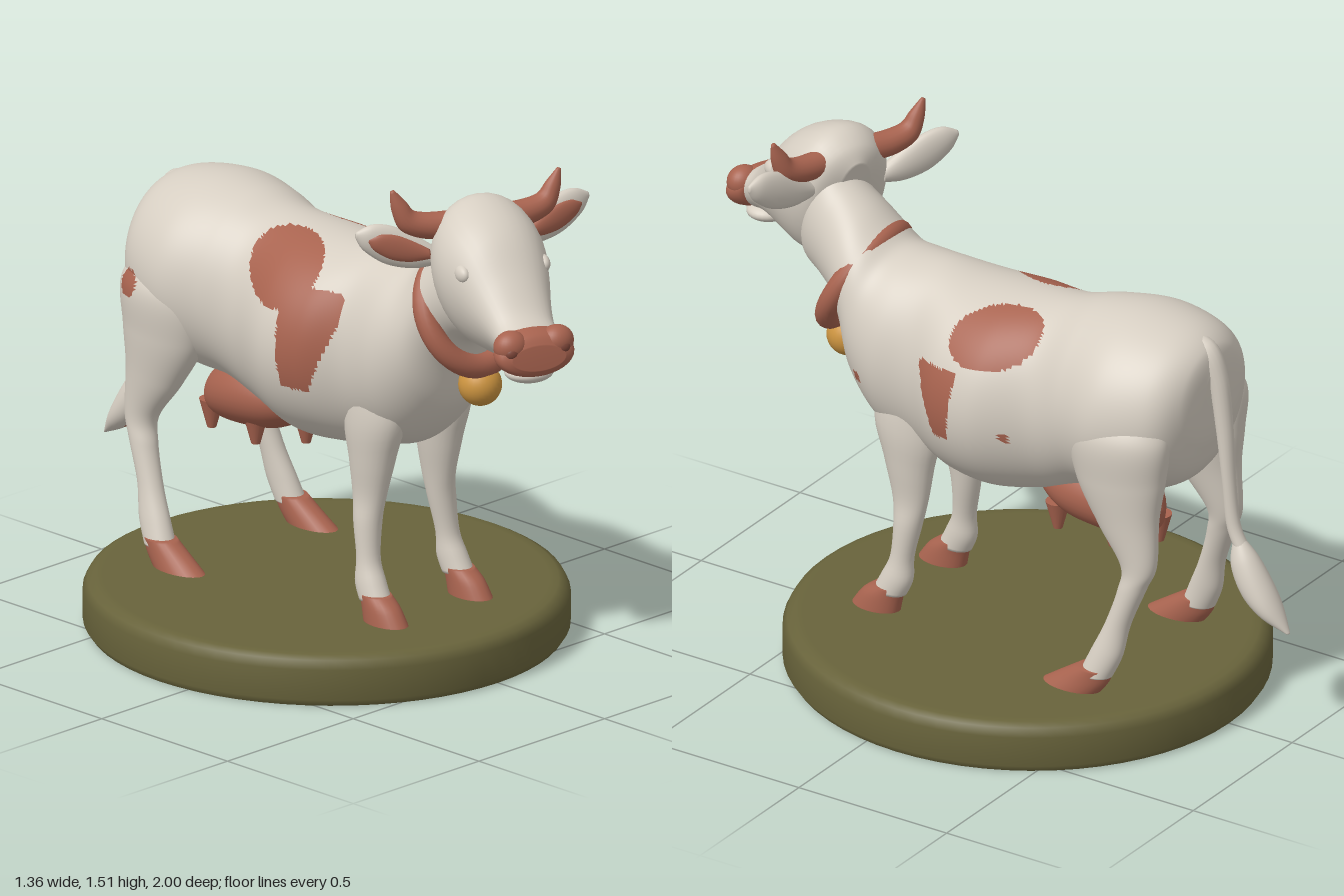
import * as THREE from 'three';

const mat = (name, color) => Object.assign(new THREE.MeshStandardMaterial({ color }), { name });

// Catmull-Rom interpolation of whole rows of numbers
function rowAt(rows, t) {
  const f = t * (rows.length - 1), i = Math.min(Math.floor(f), rows.length - 2), u = f - i;
  const r = k => rows[Math.max(0, Math.min(rows.length - 1, k))];
  return rows[0].map((_, c) => {
    const [a, b, d, e] = [r(i - 1)[c], r(i)[c], r(i + 1)[c], r(i + 2)[c]];
    return b + 0.5 * u * (d - a + u * (2 * a - 5 * b + 4 * d - e + u * (3 * (b - d) + e - a)));
  });
}

// Closed skin over elliptical rings. Row: [z, y of one edge, z, y of the other edge, half width, centre x]
function skin(rows, steps = 32, sides = 24, egg = 0) {
  const full = rows.map(r => (r.length < 6 ? [...r, 0] : r));
  const pos = [], idx = [];
  for (let i = 0; i <= steps; i++) {
    const [zt, yt, zb, yb, w, x] = rowAt(full, i / steps);
    for (let j = 0; j < sides; j++) {
      const a = (j / sides) * Math.PI * 2, c = Math.cos(a), s = Math.sin(a);
      pos.push(x + w * s * (1 + egg * c), (yt + yb) / 2 + c * (yt - yb) / 2, (zt + zb) / 2 + c * (zt - zb) / 2);
      if (i < steps) {
        const p = i * sides + j, q = i * sides + (j + 1) % sides;
        idx.push(p, q, p + sides, q, q + sides, p + sides);
      }
    }
  }
  const cap = (row, base, flip) => {
    const n = pos.length / 3;
    pos.push(row[5], (row[1] + row[3]) / 2, (row[0] + row[2]) / 2);
    for (let j = 0; j < sides; j++) {
      const p = base + j, q = base + (j + 1) % sides;
      idx.push(n, flip ? q : p, flip ? p : q);
    }
  };
  cap(full[0], 0, true);
  cap(full[full.length - 1], steps * sides, false);
  // make every face point outwards
  const v = k => new THREE.Vector3().fromArray(pos, idx[k] * 3);
  let volume = 0;
  for (let k = 0; k < idx.length; k += 3) volume += v(k).dot(v(k + 1).cross(v(k + 2)));
  if (volume < 0) idx.reverse();
  const g = new THREE.BufferGeometry();
  g.setAttribute('position', new THREE.Float32BufferAttribute(pos, 3));
  g.setIndex(idx);
  g.computeVertexNormals();
  return g;
}

// Where the coat is brown
function isSpot(x, y, z) {
  // patch on the front of the tail tuft
  if (z < -0.8) return Math.hypot((x - 0.005) / 0.026, (y - 0.425) / 0.045) < 1 && z > -0.82 - 0.68 * (0.6 - y);
  const angle = Math.atan2(Math.abs(x) / 0.29, (y - 0.89) / 0.3);
  const oval = (zc, rz, ac, ra) => ((z - zc) / rz) ** 2 + ((angle - ac - (z - zc) * 0.8) / ra) ** 2 < 1;
  const patch = (top, front) => y > 0.8 && y < top && z > -0.035 - (y - 0.9) * 0.1
    && z < front - Math.max(0, 1 - y) * 0.38 && z + y < front + top - 0.015;
  if (x > 0) {
    const dot = (zc, yc) => Math.abs(z - zc) < 0.013 && Math.abs(y - yc) < 0.013;
    return oval(-0.125, 0.135, 0.68, 0.38) || patch(1.01, 0.105) || dot(0.335, 0.865) || dot(-0.195, 0.845);
  }
  return oval(-0.11, 0.14, 0.66, 0.46) || patch(1.09, 0.135) || (z < -0.4 && Math.hypot(z + 0.635, y - 0.955) < 0.038);
}

// Split the triangles into a plain group and a spotted group
function paint(g) {
  const p = g.attributes.position, idx = g.index.array, parts = [[], []];
  for (let k = 0; k < idx.length; k += 3) {
    const t = [idx[k], idx[k + 1], idx[k + 2]];
    const mid = f => t.reduce((s, i) => s + p[f](i), 0) / 3;
    parts[isSpot(mid('getX'), mid('getY'), mid('getZ')) ? 1 : 0].push(...t);
  }
  g.setIndex([...parts[0], ...parts[1]]);
  g.addGroup(0, parts[0].length, 0);
  g.addGroup(parts[0].length, parts[1].length, 1);
  return g;
}

export function createModel() {
  const coat = mat('cream coat', 0xd6cec2), brown = mat('reddish brown', 0xa8634f);
  const grass = mat('olive base', 0x68633b), gold = mat('gold', 0xcc9440);
  const under = mat('dark underside', 0x443a36), dark = mat('dark brown', 0x7d4639);
  const model = new THREE.Group();
  const add = (name, g, m, parent = model, p = [0, 0, 0], s = [1, 1, 1]) => {
    const mesh = new THREE.Mesh(g, m);
    mesh.name = name;
    mesh.position.set(...p);
    mesh.scale.set(...s);
    parent.add(mesh);
    return mesh;
  };
  const group = (name, parent, p) => {
    const g = new THREE.Group();
    g.name = name;
    g.position.set(...p);
    parent.add(g);
    return g;
  };
  const ball = (name, m, parent, p, s) => add(name, new THREE.SphereGeometry(1, 28, 20), m, parent, p, s);

  // Round base with a softened rim
  const rim = [[0.665, 0], [0.678, 0.02], [0.678, 0.11], [0.665, 0.135], [0.645, 0.145], [0.62, 0.146], [0, 0.146]];
  add('base', new THREE.LatheGeometry(rim.map(q => new THREE.Vector2(...q)), 64), grass, model, [0, 0, -0.105], [1, 1, 1.025]);
  add('baseUnderside', new THREE.CircleGeometry(0.665, 64), under, model, [0, 0, -0.105], [1, 1.025, 1]).rotation.x = Math.PI / 2;

  // Body and neck in one skin
  const torso = group('torso', model, [0.013, 0, 0]);
  add('body', paint(skin([
    [-0.755, 1.12, -0.75, 1.0, 0.05], [-0.735, 1.185, -0.735, 0.88, 0.16], [-0.66, 1.23, -0.68, 0.76, 0.245],
    [-0.52, 1.25, -0.52, 0.69, 0.288], [-0.38, 1.235, -0.38, 0.67, 0.255], [-0.26, 1.205, -0.26, 0.62, 0.235],
    [-0.1, 1.193, -0.1, 0.585, 0.287], [0.03, 1.19, 0.03, 0.59, 0.275], [0.15, 1.205, 0.15, 0.61, 0.22],
    [0.25, 1.205, 0.29, 0.655, 0.222], [0.31, 1.21, 0.4, 0.78, 0.2], [0.36, 1.245, 0.445, 0.92, 0.175],
    [0.42, 1.29, 0.49, 1.0, 0.152, -0.01], [0.5, 1.34, 0.56, 1.03, 0.13, -0.033], [0.57, 1.39, 0.64, 1.06, 0.12, -0.063],
    [0.61, 1.36, 0.67, 1.12, 0.08, -0.083]], 190, 176)), [coat, brown], torso);

  // Legs and hooves, mirrored
  for (const s of [1, -1]) {
    const side = s > 0 ? 'left' : 'right';
    const mirror = rows => rows.map(r => [...r.slice(0, 5), s * r[5]]);
    add(side + 'FrontLeg', skin(mirror([
      [0.27, 0.92, 0.12, 0.92, 0.05, 0.12], [0.31, 0.76, 0.1, 0.72, 0.066, 0.13], [0.275, 0.62, 0.12, 0.6, 0.056, 0.133],
      [0.245, 0.5, 0.135, 0.5, 0.042, 0.137], [0.235, 0.42, 0.15, 0.42, 0.04, 0.147], [0.24, 0.32, 0.17, 0.32, 0.034, 0.157],
      [0.265, 0.26, 0.17, 0.25, 0.04, 0.162], [0.29, 0.21, 0.19, 0.2, 0.041, 0.165]])), coat, torso);
    add(side + 'FrontHoof', skin(mirror([
      [0.29, 0.222, 0.19, 0.222, 0.041, 0.165], [0.33, 0.19, 0.2, 0.19, 0.045, 0.167], [0.365, 0.14, 0.21, 0.14, 0.049, 0.168]]), 10), brown, torso);
    add(side + 'HindLeg', paint(skin(mirror([
      [-0.5, 1.05, -0.67, 1.05, 0.05, 0.17], [-0.4, 0.95, -0.715, 0.95, 0.095, 0.195], [-0.42, 0.8, -0.705, 0.82, 0.086, 0.2],
      [-0.5, 0.66, -0.69, 0.7, 0.064, 0.208], [-0.58, 0.55, -0.69, 0.56, 0.044, 0.217], [-0.575, 0.47, -0.665, 0.49, 0.039, 0.227],
      [-0.54, 0.36, -0.62, 0.37, 0.034, 0.24], [-0.5, 0.27, -0.6, 0.27, 0.038, 0.252], [-0.47, 0.2, -0.57, 0.2, 0.041, 0.26]]), 96, 64)), [coat, brown], torso);
    add(side + 'HindHoof', skin(mirror([
      [-0.465, 0.222, -0.575, 0.222, 0.041, 0.26], [-0.4, 0.18, -0.56, 0.18, 0.045, 0.262], [-0.34, 0.14, -0.53, 0.14, 0.05, 0.265]]), 10), brown, torso);
  }

  // Udder, hanging lower towards the back, with short teats
  add('udder', skin([
    [-0.175, 0.64, -0.18, 0.6, 0.02], [-0.21, 0.69, -0.22, 0.575, 0.075], [-0.3, 0.73, -0.3, 0.54, 0.115],
    [-0.42, 0.73, -0.42, 0.525, 0.12], [-0.52, 0.68, -0.52, 0.53, 0.085], [-0.565, 0.61, -0.56, 0.56, 0.025]], 32, 32), brown, torso);
  [[0.05, -0.25], [-0.055, -0.345], [0.055, -0.44], [-0.045, -0.53]].forEach(([x, z]) =>
    add('teat', new THREE.CylinderGeometry(0.036, 0.013, 0.085, 16), brown, torso, [x, 0.536, z]));

  // Tail and its tuft
  add('tail', skin([
    [-0.64, 1.22, -0.66, 1.12, 0.04], [-0.74, 1.195, -0.7, 1.1, 0.04], [-0.785, 1.1, -0.735, 1.06, 0.032],
    [-0.805, 0.95, -0.755, 0.94, 0.026], [-0.815, 0.78, -0.775, 0.78, 0.022], [-0.83, 0.65, -0.79, 0.64, 0.02],
    [-0.855, 0.59, -0.82, 0.57, 0.022]], 40, 16), coat, torso);
  add('tailTuft', paint(skin([
    [-0.84, 0.61, -0.81, 0.59, 0.015], [-0.885, 0.56, -0.81, 0.52, 0.04], [-0.93, 0.49, -0.85, 0.44, 0.05],
    [-0.965, 0.425, -0.915, 0.385, 0.042], [-1.0, 0.35, -0.99, 0.35, 0.008]], 48, 40)), [coat, brown], torso);

  // Collar and bell
  const collar = add('collar', new THREE.TorusGeometry(0.15, 0.033, 16, 48), brown, model, [0.01, 1.073, 0.442], [1.02, 1.06, 1]);
  collar.rotation.x = -0.49;
  ball('bell', gold, model, [0.01, 0.87, 0.495], [0.062, 0.062, 0.062]);

  // Head, turned to its right
  const head = group('head', model, [-0.05, 0, 0.54]);
  head.rotation.y = -0.39;
  add('skull', skin([
    [-0.06, 1.39, 0, 1.17, 0.05], [-0.035, 1.44, 0.02, 1.09, 0.12], [0.03, 1.475, 0.06, 1.055, 0.155],
    [0.12, 1.45, 0.12, 1.05, 0.16], [0.2, 1.4, 0.2, 1.055, 0.138], [0.28, 1.31, 0.28, 1.065, 0.11],
    [0.35, 1.235, 0.35, 1.07, 0.092], [0.4, 1.2, 0.4, 1.065, 0.092], [0.43, 1.18, 0.43, 1.08, 0.07]], 48, 36, 0.15), coat, head);
  // Nose: a flat pad with two raised nostril lobes
  add('nose', skin([
    [0.37, 1.19, 0.385, 1.09, 0.08], [0.38, 1.2, 0.395, 1.075, 0.105], [0.41, 1.198, 0.425, 1.064, 0.12],
    [0.44, 1.185, 0.455, 1.07, 0.11], [0.458, 1.16, 0.466, 1.09, 0.08]], 20, 32), brown, head);
  ball('lowerJaw', coat, head, [0, 1.063, 0.385], [0.072, 0.03, 0.062]);

  for (const s of [1, -1]) {
    ball('nostrilLobe', brown, head, [s * 0.07, 1.156, 0.418], [0.05, 0.046, 0.042]);
    ball('nostril', dark, head, [s * 0.078, 1.145, 0.449], [0.02, 0.018, 0.013]);
    ball('eye', coat, head, [s * 0.122, 1.305, 0.19], [0.02, 0.026, 0.034]);
    // Horn: runs out to the side, then curls up
    const horn = add('horn', skin([
      [0.08, 1.43, 0.08, 1.35, 0.038], [0.14, 1.43, 0.16, 1.355, 0.037], [0.19, 1.44, 0.23, 1.385, 0.031],
      [0.215, 1.47, 0.257, 1.445, 0.021], [0.25, 1.508, 0.262, 1.503, 0.005]], 24, 18), brown, head, [0, 0, 0.02]);
    horn.rotation.y = s * (Math.PI / 2 + 0.1);
    // Ear: a broad leaf swept back, brown inside, the right one hanging a little lower
    const leaf = [[0.12, 1.345, 0.12, 1.3, 0.022], [0.18, 1.385, 0.19, 1.292, 0.026], [0.25, 1.422, 0.27, 1.31, 0.026],
      [0.31, 1.432, 0.335, 1.355, 0.02], [0.358, 1.412, 0.36, 1.395, 0.006]];
    const ear = group('ear', head, [0, s > 0 ? 0 : -0.025, 0.025]);
    ear.rotation.y = s * (Math.PI / 2 + 0.16);
    add('outerEar', skin(leaf, 24, 20), coat, ear);
    add('innerEar', skin(leaf, 24, 20), brown, ear, [-s * 0.017, 0.477, 0.06], [0.6, 0.65, 0.74]);
  }
  return model;
}
